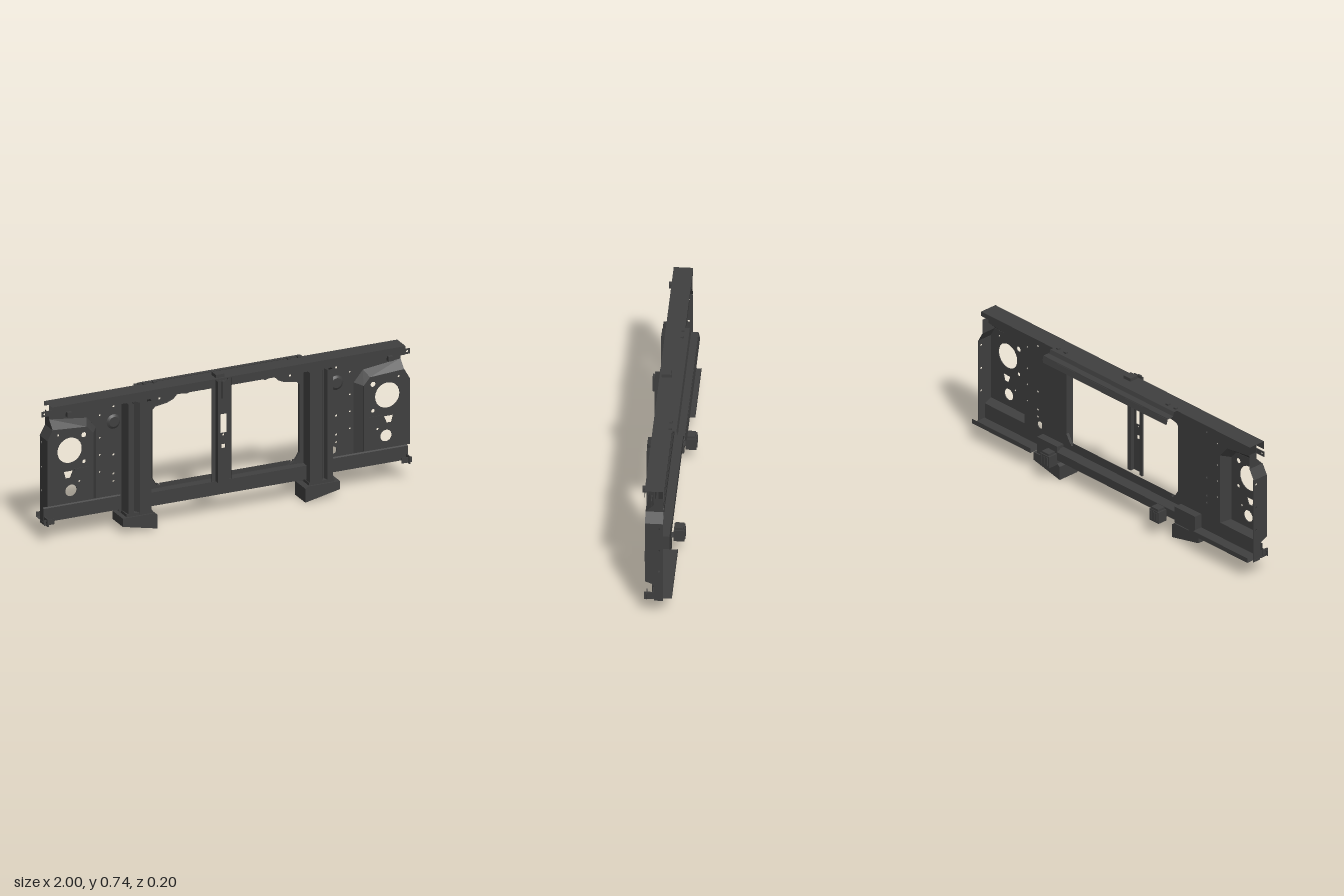
import * as THREE from 'three';

const mat = new THREE.MeshStandardMaterial({ color: 0x404040, side: THREE.DoubleSide });
const T = 0.004; // sheet thickness

export function createModel() {
  const model = new THREE.Group();

  const add = (name, geo, x = 0, y = 0, z = 0) => {
    const m = new THREE.Mesh(geo, mat);
    m.name = name;
    m.position.set(x, y, z);
    model.add(m);
    return m;
  };
  const box = (name, x0, x1, y0, y1, z0, z1) =>
    add(name, new THREE.BoxGeometry(Math.abs(x1 - x0), y1 - y0, z1 - z0), (x0 + x1) / 2, (y0 + y1) / 2, (z0 + z1) / 2);
  const poly = pts => new THREE.Shape(pts.map(p => new THREE.Vector2(p[0], p[1])));
  const circle = (x, y, r) => new THREE.Path().absarc(x, y, r, 0, Math.PI * 2, true);
  const rect = (x, y, w, h) => poly([[x - w / 2, y - h / 2], [x - w / 2, y + h / 2], [x + w / 2, y + h / 2], [x + w / 2, y - h / 2]]);
  const sheet = (pts, holes = [], depth = T) => {
    const s = poly(pts);
    s.holes = holes;
    return new THREE.ExtrudeGeometry(s, { depth, bevelEnabled: false, curveSegments: 12 });
  };
  // flat-shaded ribbon between two matching polylines
  const ribbon = (a, b) => {
    const v = [];
    for (let i = 0; i < a.length - 1; i++) v.push(...a[i], ...a[i + 1], ...b[i + 1], ...a[i], ...b[i + 1], ...b[i]);
    const g = new THREE.BufferGeometry();
    g.setAttribute('position', new THREE.Float32BufferAttribute(v, 3));
    g.computeVertexNormals();
    return g;
  };
  // folded profiles: [z, y] run along x, and [x, z] run along y
  const foldX = (name, p, x0, x1) => add(name, ribbon(p.map(([z, y]) => [x0, y, z]), p.map(([z, y]) => [x1, y, z])));
  const foldY = (name, p, y0, y1) => add(name, ribbon(p.map(([x, z]) => [x, y0, z]), p.map(([x, z]) => [x, y1, z])));

  // main sheet: central window, cut away at the lamp pressings
  const half = [[0.985, 0.105], [0.985, 0.185], [0.70, 0.185], [0.70, 0.56], [0.75, 0.62], [0.955, 0.645], [0.955, 0.722]];
  const mirror = pts => pts.map(([x, ...r]) => [-x, ...r]).reverse();
  const winHalf = [[0.335, 0.185], [0.375, 0.205], [0.40, 0.245], [0.40, 0.605], [0.385, 0.62], [0.32, 0.63],
    [0.285, 0.645], [0.26, 0.672], [0.215, 0.66], [0.17, 0.672], [0.12, 0.664], [0.07, 0.672]];
  const holes = [poly([...winHalf, ...mirror(winHalf)]), circle(0.587, 0.22, 0.02)];
  for (const s of [-1, 1]) {
    for (const y of [0.5, 0.41, 0.32, 0.62]) holes.push(circle(s * 0.68, y, 0.005));
    for (const y of [0.655, 0.4, 0.3, 0.26]) holes.push(circle(s * 0.605, y, 0.006));
    holes.push(circle(s * 0.355, 0.655, 0.007), circle(s * 0.36, 0.2, 0.007));
  }
  add('mainPanel', sheet([...half, ...mirror(half)], holes), 0, 0, 0.018);

  // window edge return
  const rim = [...winHalf, ...mirror(winHalf), winHalf[0]];
  add('windowFlange', ribbon(rim.map(([x, y]) => [x, y, 0.02]), rim.map(([x, y]) => [x, y, 0.034])));

  // upper channel and rear deflector
  foldX('upperRail', [[0.068, 0.68], [0.068, 0.725], [-0.028, 0.725], [-0.028, 0.7]], -0.96, 0.96);
  foldX('rearDeflector', [[-0.028, 0.727], [-0.05, 0.727], [-0.058, 0.703], [-0.094, 0.701], [-0.101, 0.672]], -0.442, 0.442);
  foldX('deflectorLip', [[-0.055, 0.706], [-0.092, 0.706], [-0.098, 0.68]], -0.442, 0.448);
  box('topCatch', -0.066, -0.018, 0.725, 0.742, 0.01, 0.058);

  // lower cross member between the rails
  foldX('lowerCrossMember', [[0.02, 0.183], [0.058, 0.18], [0.058, 0.108], [-0.025, 0.105], [-0.025, 0.15], [0.0, 0.165], [0.02, 0.165]], -0.45, 0.45);

  // centre post: pierced face, stepped sides
  const post = sheet([[-0.072, 0.185], [-0.01, 0.185], [-0.01, 0.722], [-0.072, 0.722]],
    [rect(-0.041, 0.495, 0.034, 0.1), rect(-0.041, 0.375, 0.022, 0.022), circle(-0.041, 0.435, 0.005)]);
  add('centrePostFace', post, 0, 0, 0.088);
  for (const [a, b] of [[-0.072, -0.093], [-0.01, 0.012]])
    foldY('centrePostSide', [[a, 0.09], [a, 0.066], [b, 0.064], [b, 0.072]], 0.185, 0.72);
  box('postTopPlate', -0.052, -0.03, 0.63, 0.72, 0.092, 0.102);

  for (const s of [-1, 1]) {
    const sx = pts => pts.map(([x, ...r]) => [s * x, ...r]);

    // lamp pressing: raised face with openings and sloping walls
    const face = [[0.985, 0.203], [0.735, 0.203], [0.735, 0.55], [0.77, 0.59], [0.955, 0.602]];
    const base = [[0.985, 0.185], [0.70, 0.185], [0.70, 0.56], [0.75, 0.62], [0.955, 0.645]];
    const lampHoles = [circle(s * 0.863, 0.481, 0.067), circle(s * 0.786, 0.55, 0.014), circle(s * 0.856, 0.268, 0.031),
      poly(sx([[0.845, 0.372], [0.895, 0.372], [0.885, 0.335], [0.86, 0.335]])),
      circle(s * 0.785, 0.41, 0.01), circle(s * 0.925, 0.57, 0.006), circle(s * 0.81, 0.31, 0.006)];
    add('lampPanel', sheet(sx([...face.slice(0, 4), face[4], [0.985, 0.55]]), lampHoles), 0, 0, 0.06);
    add('lampPanelWall', ribbon(sx(face.map(p => [...p, 0.062])), sx(base.map(p => [...p, 0.02]))));
    box('lampPanelRib', s * 0.76, s * 0.84, 0.372, 0.38, 0.06, 0.067);

    // end flange, bent inward near the top
    const flange = sheet([[0.025, 0.09], [-0.02, 0.09], [-0.02, 0.185], [-0.062, 0.203], [-0.062, 0.55], [0.025, 0.55]],
      [0.265, 0.39, 0.52].map(y => circle(0.005, y, 0.006)), 0.003);
    add('endFlange', flange, s * 0.983, 0, 0).rotation.y = Math.PI / 2;
    add('endFlangeTop', ribbon(
      sx([[0.985, 0.55, -0.025], [0.955, 0.602, -0.025], [0.955, 0.645, -0.025], [0.955, 0.68, -0.025]]),
      sx([[0.985, 0.55, 0.062], [0.955, 0.602, 0.062], [0.955, 0.645, 0.02], [0.955, 0.68, 0.02]])));

    // rear shelf along the bottom
    foldX('lowerShelf', [[0.02, 0.105], [-0.068, 0.105], [-0.068, 0.13]], s * 0.565, s * 0.985);
    foldX('lowerSill', [[0.022, 0.185], [0.03, 0.18], [0.03, 0.108], [0.02, 0.105]], s * 0.57, s * 0.99);

    // vertical rail with stepped face
    foldY('verticalRail', sx([[0.40, 0.026], [0.425, 0.026], [0.43, 0.09], [0.495, 0.09], [0.512, 0.062], [0.52, 0.062],
      [0.525, 0.088], [0.555, 0.088], [0.562, 0.024], [0.58, 0.024]]), 0.09, 0.68);
    box('railRearBox', s * 0.42, s * 0.565, 0.09, 0.18, -0.025, 0.02);
    box('railFoot', s * 0.425, s * 0.565, 0.075, 0.1, -0.015, 0.088);

    // mounting foot with sloping underside
    add('mountingFoot', sheet(sx([[0.59, 0.085], [0.59, 0.042], [0.402, 0.002], [0.402, 0.075], [0.42, 0.085]]), [], 0.122), 0, 0, -0.025);
    for (const z of [0, 0.036, 0.073]) {
      const bolt = add('footBolt', new THREE.CylinderGeometry(0.01, 0.01, 0.006, 12), s * 0.495, 0.021, z);
      bolt.rotation.z = s * 0.21;
    }

    // shallow round dimple
    const dimple = add('panelDimple', new THREE.CylinderGeometry(0.026, 0.04, 0.008, 24), s * 0.605, 0.575, 0.025);
    dimple.rotation.x = Math.PI / 2;

    // end tabs
    const tab = y => sheet(sx([[0.945, y], [1, y], [1, y + 0.028], [0.945, y + 0.028]]), [circle(s * 0.985, y + 0.014, 0.006)]);
    add('upperEndTab', tab(0.667), 0, 0, 0.03);
    add('lowerEndTab', tab(0.103), 0, 0, 0.055);
    box('lowerEndTabArm', s * 0.98, s * 0.986, 0.098, 0.138, 0.02, 0.07);
    box('upperClip', s * 0.86, s * 0.885, 0.665, 0.69, 0.062, 0.085);

    // small catches on top of the upper rail
    for (const x of [0.365, 0.42]) box('railCatch', s * (x - 0.008), s * (x + 0.008), 0.725, 0.733, -0.026, -0.01);
  }

  // rear brackets with ribbed pads
  for (const x of [-0.343, 0.44]) {
    box('rearBracket', x - 0.033, x + 0.033, 0.09, 0.152, -0.092, -0.039);
    box('rearBracketPad', x - 0.025, x + 0.025, 0.152, 0.164, -0.087, -0.044);
    box('rearBracketArm', x - 0.02, x + 0.02, 0.102, 0.106, -0.04, 0.0);
    for (let i = -1; i <= 1; i++) box('bracketRib', x + i * 0.02 - 0.004, x + i * 0.02 + 0.004, 0.1, 0.145, -0.096, -0.09);
  }

  return model;
}
